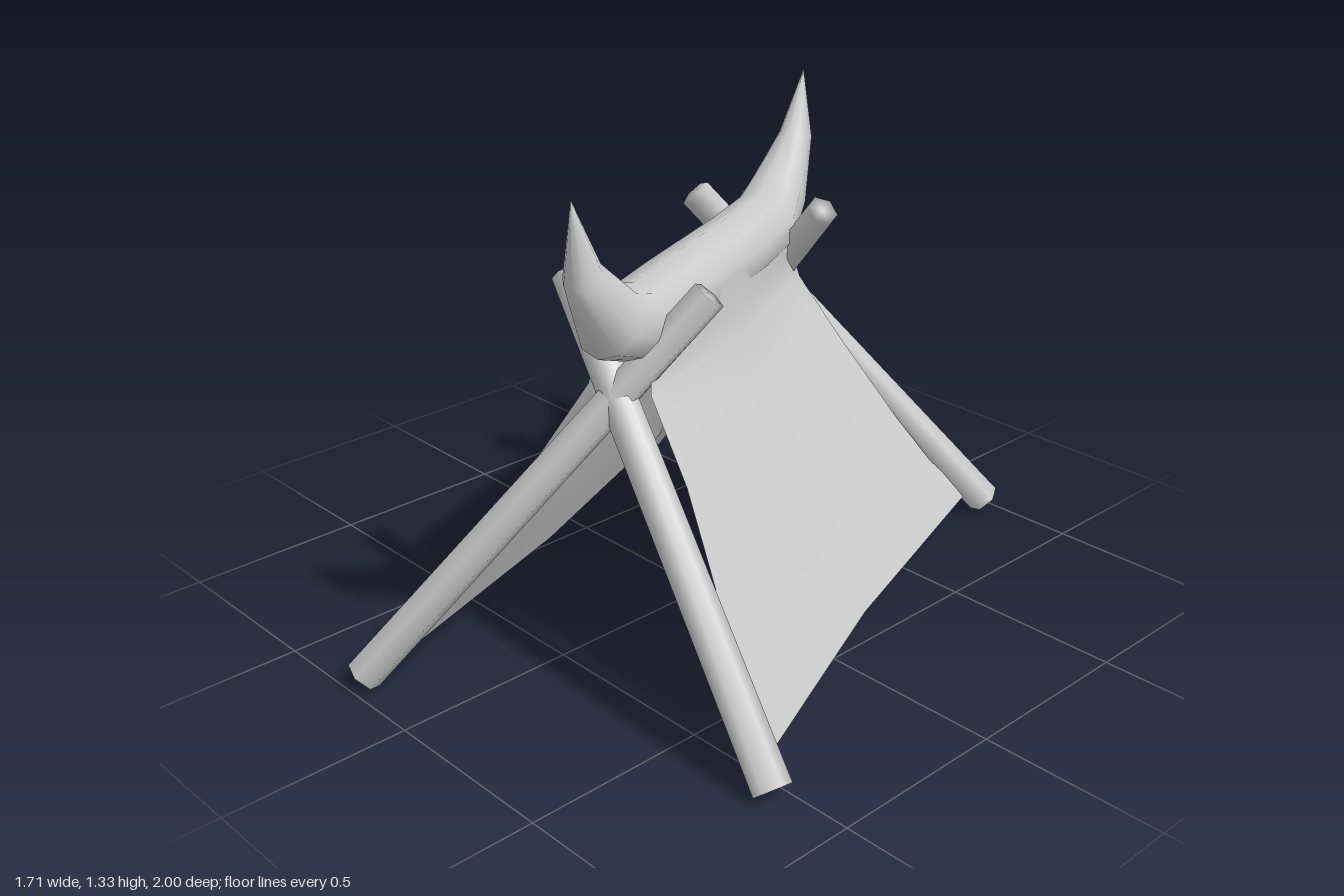
import * as THREE from 'three';
import { mergeVertices } from 'three/addons/utils/BufferGeometryUtils.js';

const material = new THREE.MeshStandardMaterial({ color: 0xcccccc });
const clothMaterial = new THREE.MeshStandardMaterial({ color: 0xcccccc, side: THREE.DoubleSide });

// Smooth surface through a grid of points (rows of equal length).
function loft(rows, mat, name, closed = false) {
  const n = rows[0].length, index = [];
  for (let i = 0; i < rows.length - 1; i++) {
    for (let j = 0; j < (closed ? n : n - 1); j++) {
      const k = (j + 1) % n;
      const a = i * n + j, b = i * n + k, c = a + n, d = b + n;
      index.push(a, b, c, b, d, c);
    }
  }
  const geometry = new THREE.BufferGeometry().setFromPoints(rows.flat());
  geometry.setIndex(index);
  geometry.computeVertexNormals();
  const mesh = new THREE.Mesh(geometry, mat);
  mesh.name = name;
  return mesh;
}

// Six-sided pole between a foot and a top point, shaded smoothly over its ends.
function pole(foot, top, name) {
  const axis = top.clone().sub(foot);
  let geometry = new THREE.CylinderGeometry(0.045, 0.049, axis.length(), 6);
  geometry.deleteAttribute('uv');
  geometry.deleteAttribute('normal');
  geometry = mergeVertices(geometry);
  geometry.computeVertexNormals();
  const mesh = new THREE.Mesh(geometry, material);
  mesh.position.copy(foot).add(top).multiplyScalar(0.5);
  mesh.quaternion.setFromUnitVectors(new THREE.Vector3(0, 1, 0), axis.normalize());
  mesh.name = name;
  return mesh;
}

// Ridge beam whose ends curl up into pointed horns.
function ridgeBeam() {
  // x, y, z, half width, half height, tilt of the path
  const half = [
    [0, 0.938, 0.2, 0.102, 0.102, 0], [0.008, 0.945, 0.41, 0.1, 0.098, 0.15],
    [0.022, 1.0, 0.55, 0.082, 0.095, 0.65], [0.012, 1.145, 0.652, 0.045, 0.054, 1.15],
    [0.004, 1.325, 0.68, 0.001, 0.001, 1.5],
  ];
  const mirrored = half.map(([x, y, z, w, h, t]) => [-x, y, -z, w, h, -t]).reverse();
  const rows = [...mirrored, ...half].map(([x, y, z, w, h, t]) =>
    Array.from({ length: 10 }, (_, j) => {
      const a = (j / 10) * Math.PI * 2 + Math.PI / 10;
      const up = Math.sin(a) * h;
      return new THREE.Vector3(x + Math.cos(a) * w, y + up * Math.cos(t), z - up * Math.sin(t));
    }));
  return loft(rows, material, 'ridgeBeam', true);
}

// Cloth hanging from one side of the beam, stretched out to the pole feet.
function cloth(side, name) {
  // x at mid length, x at the ends, y, half length
  const profile = [
    [0.098, 0.09, 0.95, 0.41], [0.105, 0.075, 0.86, 0.44], [0.12, 0.085, 0.79, 0.465],
    [0.165, 0.145, 0.69, 0.49], [0.21, 0.205, 0.59, 0.515], [0.33, 0.345, 0.335, 0.615],
    [0.41, 0.43, 0.19, 0.68], [0.485, 0.515, 0.05, 0.785],
  ];
  const rows = profile.map(([mid, end, y, len]) =>
    Array.from({ length: 9 }, (_, j) => {
      const v = j / 4 - 1;
      return new THREE.Vector3(side * THREE.MathUtils.lerp(mid, end, Math.abs(v)), y, v * len);
    }));
  return loft(rows, clothMaterial, name);
}

export function createModel() {
  const group = new THREE.Group();
  group.name = 'tent';
  const tent = new THREE.Group();
  tent.name = 'tentFrame';

  // Two crossed pairs of poles
  for (const z of [1, -1]) {
    for (const x of [1, -1]) {
      tent.add(pole(
        new THREE.Vector3(0.563 * x, 0.032, 0.812 * z),
        new THREE.Vector3(-0.19 * x, 1.027, 0.36 * z),
        `${z > 0 ? 'front' : 'back'}${x > 0 ? 'Left' : 'Right'}Pole`));
    }
  }
  tent.add(ridgeBeam(), cloth(1, 'leftCloth'), cloth(-1, 'rightCloth'));

  // The tent stands at an angle
  tent.rotation.y = 0.37;
  group.add(tent);
  return group;
}
